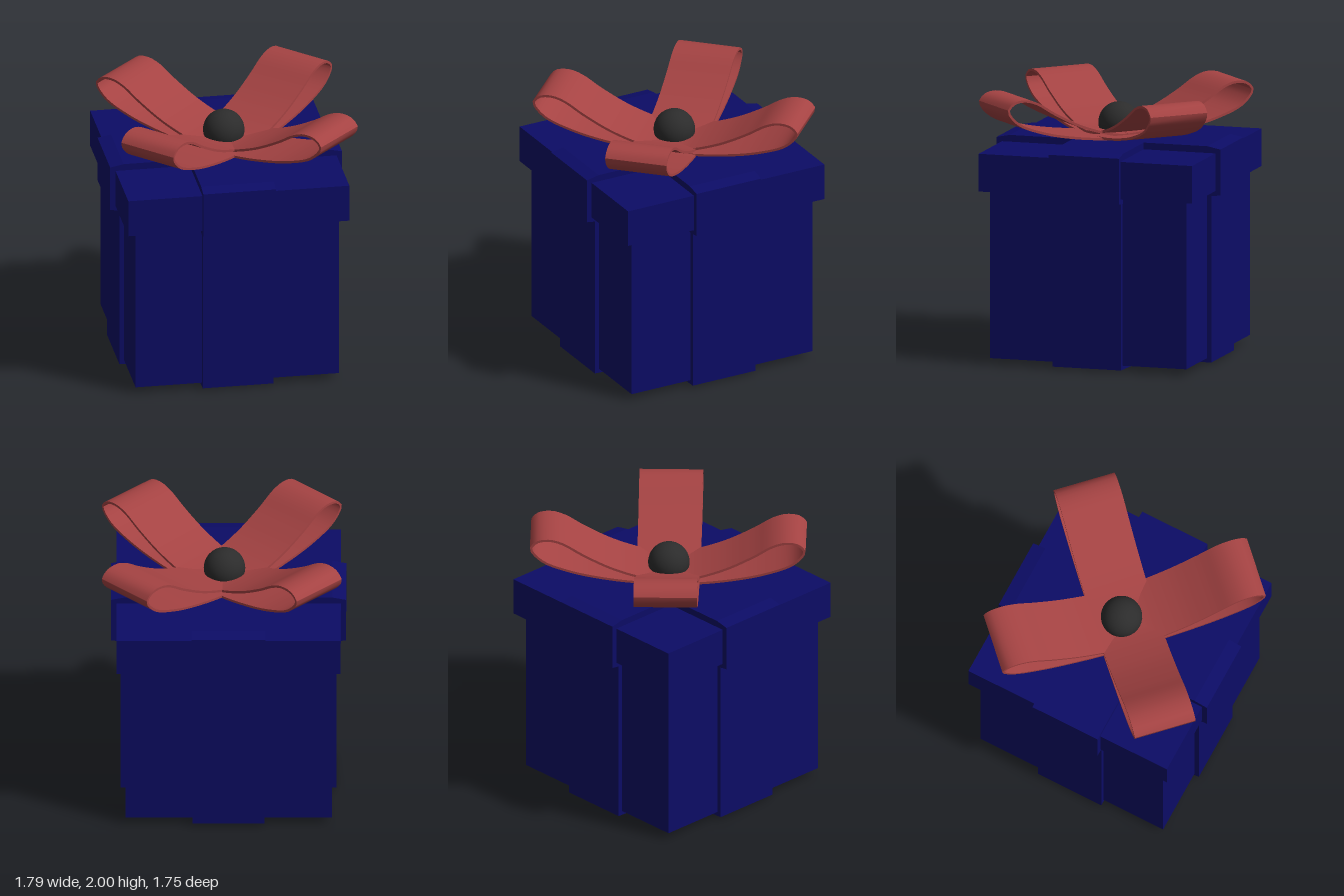
import * as THREE from 'three';
import { toCreasedNormals } from 'three/addons/utils/BufferGeometryUtils.js';

const blue = new THREE.MeshStandardMaterial({ name: 'navy paper', color: 0x0c0c66 });
const red = new THREE.MeshStandardMaterial({ name: 'red ribbon', color: 0xa54343 });
const black = new THREE.MeshStandardMaterial({ name: 'charcoal', color: 0x2c2c2c });

function addMesh(parent, name, geometry, material) {
  const mesh = new THREE.Mesh(geometry, material);
  mesh.name = name;
  parent.add(mesh);
  return mesh;
}

// Square block centred on the y axis
function addBlock(parent, name, width, y0, y1) {
  const mesh = addMesh(parent, name, new THREE.BoxGeometry(width, y1 - y0, width), blue);
  mesh.position.y = (y0 + y1) / 2;
}

// Two crossing bands, each a symmetric profile (given as its right half) extruded sideways
function addCrossBands(parent, name, half, width) {
  const points = [
    ...half.map(([x, y]) => new THREE.Vector2(x, y)),
    ...half.map(([x, y]) => new THREE.Vector2(-x, y)).reverse(),
  ];
  const geometry = new THREE.ExtrudeGeometry(new THREE.Shape(points), { depth: width, bevelEnabled: false });
  geometry.translate(0, 0, -width / 2);
  for (let i = 0; i < 2; i++) {
    addMesh(parent, name + (i + 1), geometry, blue).rotation.y = i * Math.PI / 2;
  }
}

// Bow loop: outward along the top strand, round the tip, back underneath
function bowLoopGeometry(width, thickness) {
  const path = [
    [-0.02, 1.68], [0.14, 1.695], [0.4, 1.775], [0.62, 1.885], [0.76, 1.97], [0.86, 2.0],
    [0.96, 1.985], [1.01, 1.925], [0.93, 1.82], [0.71, 1.73], [0.39, 1.667], [0.1, 1.642], [-0.02, 1.638],
  ];
  const curve = new THREE.CatmullRomCurve3(path.map(([d, y]) => new THREE.Vector3(d, y, 0)));
  const outer = [], inner = [];
  const steps = 56;
  for (let i = 0; i <= steps; i++) {
    const p = curve.getPointAt(i / steps);
    const t = curve.getTangentAt(i / steps);
    outer.push(new THREE.Vector2(p.x, p.y));
    inner.push(new THREE.Vector2(p.x + t.y * thickness, p.y - t.x * thickness));
  }
  const shape = new THREE.Shape([...outer, ...inner.reverse()]);
  const geometry = new THREE.ExtrudeGeometry(shape, { depth: width, bevelEnabled: false });
  geometry.translate(0, 0, -width / 2);
  return toCreasedNormals(geometry, 0.7);
}

export function createModel() {
  const model = new THREE.Group();
  model.name = 'giftBox';

  // Box and lid, with bands wrapped round both
  const box = new THREE.Group();
  box.name = 'box';
  box.position.set(-0.03, 0, -0.012);
  model.add(box);
  addBlock(box, 'body', 1.51, 0.05, 1.35);
  addCrossBands(box, 'bodyBand', [[0.26, 0], [0.79, 0.02], [0.79, 1.32]], 0.525);
  addBlock(box, 'lid', 1.64, 1.295, 1.575);
  addCrossBands(box, 'lidBand', [[0.79, 1.255], [0.86, 1.265], [0.86, 1.605], [0.76, 1.625]], 0.54);

  // Four bow loops on the diagonals
  const bow = new THREE.Group();
  bow.name = 'bow';
  bow.position.set(0.02, 0, 0);
  model.add(bow);
  const loop = bowLoopGeometry(0.465, 0.018);
  for (let i = 0; i < 4; i++) {
    const mesh = addMesh(bow, 'bowLoop' + (i + 1), loop, red);
    mesh.rotation.y = Math.PI / 4 + i * Math.PI / 2;
    mesh.position.y = -0.002 * i;
  }

  // Knot ball in the middle
  addMesh(model, 'knot', new THREE.SphereGeometry(0.152, 32, 20), black).position.set(0, 1.723, -0.015);

  return model;
}
